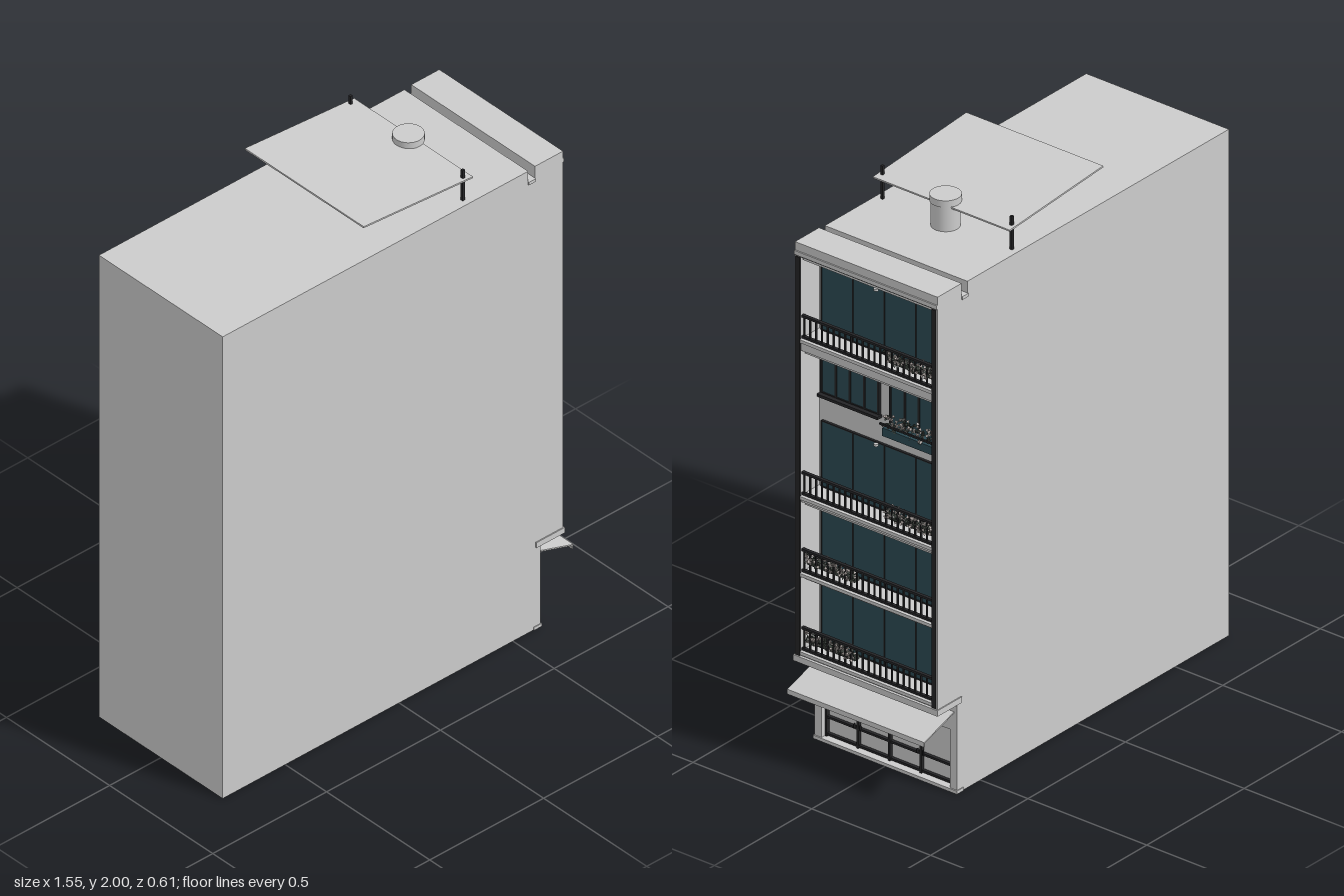
import * as THREE from 'three';

const mat = (name, color) => {
  const m = new THREE.MeshStandardMaterial({ color });
  m.name = name;
  return m;
};

export function createModel() {
  const root = new THREE.Group();
  root.name = 'townhouse';
  const wall = mat('pale grey wall', 0xcccccc);
  const glass = mat('dark teal glass', 0x2c4a53);
  const iron = mat('black iron', 0x242426);
  const bloom = mat('pale flowers', 0xb5aca8);
  const leaf = mat('dark leaves', 0x3b423c);

  const add = (name, geo, m, parent = root) => {
    const mesh = new THREE.Mesh(geo, m);
    mesh.name = name;
    parent.add(mesh);
    return mesh;
  };
  // Box given by its limits on each axis
  const box = (name, m, x0, x1, y0, y1, z0, z1, parent = root) => {
    const mesh = add(name, new THREE.BoxGeometry(x1 - x0, y1 - y0, z1 - z0), m, parent);
    mesh.position.set((x0 + x1) / 2, (y0 + y1) / 2, (z0 + z1) / 2);
    return mesh;
  };
  const group = (name) => {
    const g = new THREE.Group();
    g.name = name;
    root.add(g);
    return g;
  };
  let seed = 7;
  const rand = () => (seed = (seed * 16807) % 2147483647) / 2147483647;

  // Main block: side profile with roof channel and overhanging parapet
  const profile = new THREE.Shape([
    [-0.775, 0], [0.59, 0], [0.59, 0.24], [0.62, 0.24], [0.62, 0.33], [0.62, 1.83],
    [0.72, 1.83], [0.72, 1.88], [0.597, 1.88], [0.597, 1.828], [0.567, 1.828],
    [0.567, 1.875], [-0.775, 1.875],
  ].map(([x, y]) => new THREE.Vector2(x, y)));
  const block = new THREE.ExtrudeGeometry(profile, { depth: 0.6, bevelEnabled: false });
  block.translate(0, 0, -0.3);
  add('mainBlock', block, wall);
  box('roofGutter', wall, 0.567, 0.597, 1.82, 1.832, -0.304, 0.304);
  box('parapetBand', wall, 0.715, 0.725, 1.835, 1.85, -0.3, 0.3);
  box('parapetSoffitTrim', wall, 0.69, 0.715, 1.82, 1.83, -0.27, 0.27);

  // Side walls of the balconies with dark edge strips
  for (const s of [-1, 1]) {
    const z = s * 0.29;
    box('sideWall', wall, 0.62, 0.72, 0.33, 1.83, z - 0.01, z + 0.01);
    box('edgeStrip', iron, 0.717, 0.724, 0.355, 1.83, s * 0.286 - 0.008, s * 0.286 + 0.008);
  }

  // Balcony slabs with stepped fronts: [top, bottom]
  for (const [top, bottom] of [[1.525, 1.47], [0.945, 0.91], [0.66, 0.635], [0.37, 0.33]]) {
    box('balconySlab', wall, 0.62, 0.715, bottom + 0.012, top, -0.28, 0.28);
    box('slabUnderstep', wall, 0.62, 0.705, bottom, bottom + 0.012, -0.27, 0.27);
    box('slabLip', wall, 0.715, 0.722, top - 0.012, top, -0.278, 0.278);
  }
  box('baseBand', wall, 0.60, 0.725, 0.33, 0.352, -0.304, 0.304);

  // Flower row: small leaves and blossoms scattered inside a strip
  const flowers = (x, y0, y1, z0, z1) => {
    const g = group('flowerRow');
    const geo = new THREE.TetrahedronGeometry(0.008);
    for (let i = 0; i < 130; i++) {
      const f = add('blossom', geo, i % 5 < 3 ? bloom : leaf, g);
      f.position.set(x + (rand() - 0.5) * 0.03, y0 + rand() * (y1 - y0), z0 + rand() * (z1 - z0));
      f.rotation.set(rand() * 6, rand() * 6, rand() * 6);
    }
  };

  // Window pane with iron frame and mullions
  const windowUnit = (y0, y1, z0, z1, panes, transom, w) => {
    const g = group('window');
    box('pane', glass, 0.62, 0.626, y0, y1, z0, z1, g);
    for (let i = 0; i <= panes; i++) {
      const z = z0 + ((z1 - z0) * i) / panes;
      box('mullion', iron, 0.62, 0.629, y0, y1, z - w, z + w, g);
    }
    for (const y of [y0, y1].concat(transom || []))
      box('frameBar', iron, 0.62, 0.629, y - w, y + w, z0, z1, g);
  };

  // Balcony railing
  const railing = (y) => {
    const g = group('railing');
    box('topRail', iron, 0.702, 0.714, y + 0.077, y + 0.085, -0.278, 0.278, g);
    box('bottomRail', iron, 0.702, 0.714, y, y + 0.008, -0.278, 0.278, g);
    for (let i = 0; i <= 22; i++) {
      const z = -0.27 + (0.54 * i) / 22;
      box('baluster', iron, 0.705, 0.711, y, y + 0.08, z - 0.0025, z + 0.0025, g);
    }
  };

  // Balcony floors: [floor, window top, flower side]
  for (const [y, top, side] of [[1.528, 1.765, -1], [0.948, 1.19, -1], [0.663, 0.905, 1], [0.373, 0.61, 1]]) {
    windowUnit(y, top, -0.265, 0.265, 4, null, 0.002);
    railing(y);
    const z = side * 0.165;
    flowers(0.70, y + 0.03, y + 0.075, z - 0.1, z + 0.1);
    const planter = box('planter', leaf, 0.675, 0.70, y + 0.025, y + 0.04, z - 0.1, z + 0.1);
    planter.userData.part = 'balcony';
    const lamp = add('ceilingLamp', new THREE.CylinderGeometry(0.008, 0.008, 0.008, 12), wall);
    lamp.position.set(0.67, top + 0.02, 0);
  }

  // Floor with two casement windows, sills and a window box
  windowUnit(1.295, 1.46, 0.025, 0.265, 4, [1.425], 0.004);
  windowUnit(1.26, 1.46, -0.265, -0.025, 4, [1.425], 0.004);
  box('windowSill', iron, 0.62, 0.645, 1.285, 1.295, 0.015, 0.27);
  box('windowBox', glass, 0.63, 0.675, 1.255, 1.285, -0.255, -0.03);
  box('windowBoxRail', iron, 0.672, 0.678, 1.295, 1.302, -0.265, -0.02);
  flowers(0.66, 1.28, 1.33, -0.26, -0.025);

  // Ground floor shopfront
  for (const s of [-1, 1]) box('shopPier', wall, 0.59, 0.62, 0, 0.24, s * 0.285 - 0.015, s * 0.285 + 0.015);
  box('shopSill', wall, 0.59, 0.625, 0, 0.012, -0.303, 0.303);
  box('shopLintel', wall, 0.59, 0.62, 0.228, 0.24, -0.27, 0.27);
  const shop = group('shopDoors');
  for (let i = 0; i < 5; i++) {
    const z = -0.266 + 0.133 * i;
    box('doorPost', iron, 0.59, 0.604, 0.012, 0.228, z - 0.004, z + 0.004, shop);
  }
  for (const y of [0.02, 0.083, 0.224])
    box('doorRail', iron, 0.59, 0.602, y - 0.004, y + 0.004, -0.27, 0.27, shop);
  for (const z of [-0.145, -0.12, 0.12, 0.145])
    box('doorHandle', iron, 0.602, 0.608, 0.085, 0.1, z - 0.002, z + 0.002, shop);

  // Sloping thin sheet between two points of the side profile
  const sheet = (name, x0, y0, x1, y1, width, thick) => {
    const m = add(name, new THREE.BoxGeometry(Math.hypot(x1 - x0, y1 - y0), thick, width), wall);
    m.position.set((x0 + x1) / 2, (y0 + y1) / 2, 0);
    m.rotation.z = Math.atan2(y1 - y0, x1 - x0);
  };
  sheet('shopAwning', 0.62, 0.297, 0.773, 0.247, 0.576, 0.005);
  box('awningLip', wall, 0.77, 0.775, 0.232, 0.25, -0.288, 0.288);

  // Roof canopy on two posts
  sheet('roofCanopy', -0.145, 1.997, 0.335, 1.96, 0.576, 0.006);
  for (const z of [-0.272, 0.272])
    box('canopyPost', iron, 0.3, 0.31, 1.875, 1.998, z - 0.005, z + 0.005);

  // Water tank
  const tank = add('waterTank', new THREE.CylinderGeometry(0.049, 0.049, 0.1, 32), wall);
  tank.position.set(0.313, 1.922, 0);
  const lid = add('tankLid', new THREE.CylinderGeometry(0.053, 0.053, 0.025, 32), wall);
  lid.position.set(0.313, 1.979, 0);

  return root;
}
